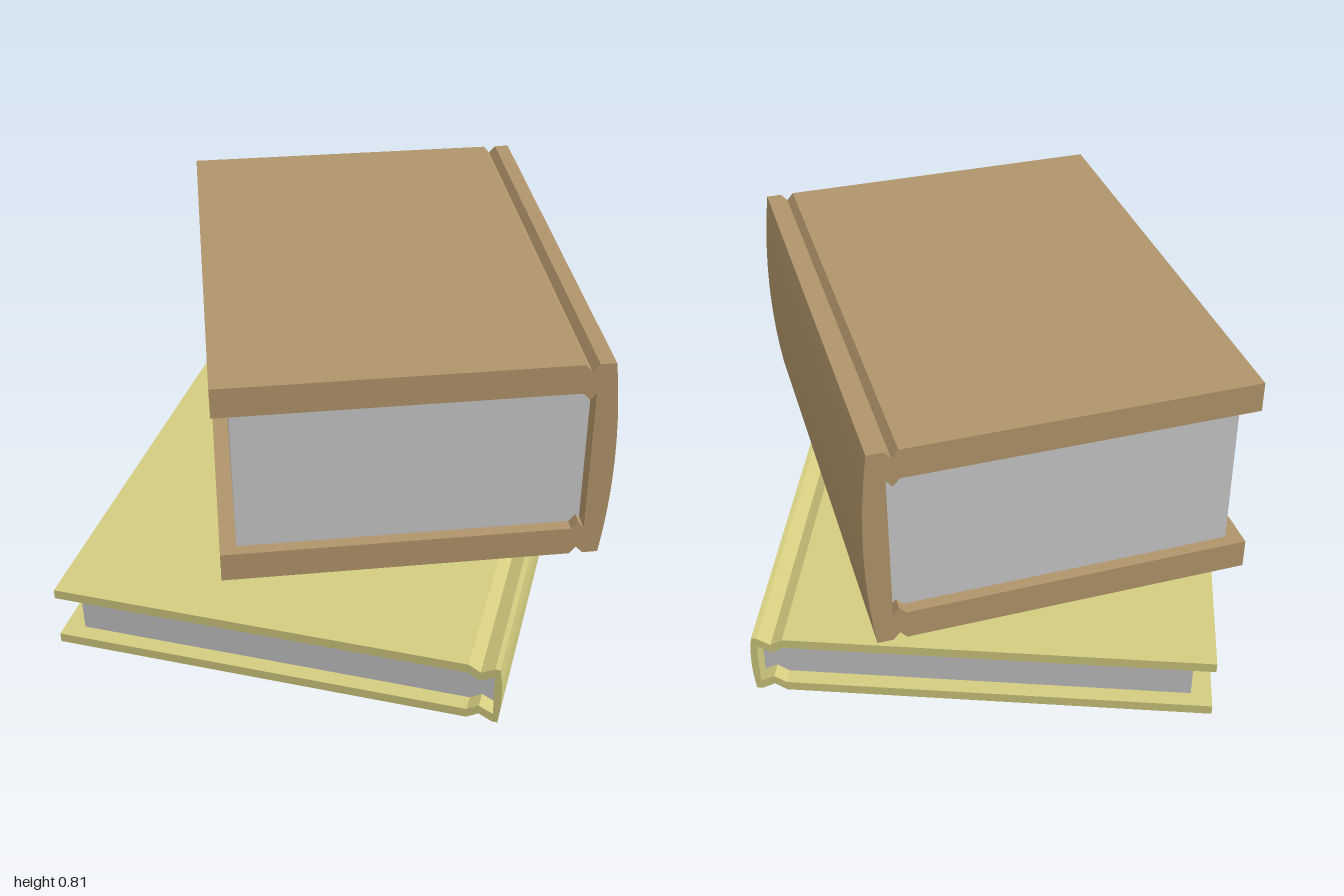
import * as THREE from 'three';
import { toCreasedNormals } from 'three/addons/utils/BufferGeometryUtils.js';

const material = (name, color) => {
  const m = new THREE.MeshStandardMaterial({ color });
  m.name = name;
  return m;
};

// One hardback: wraparound cover with hinge grooves, plus a page block.
function createBook(name, coverMaterial, pageMaterial, s) {
  const book = new THREE.Group();
  book.name = name;
  const h = s.height, t = s.cover, half = s.width / 2;
  const corner = half - s.bulge;
  const inner = corner - s.spine;
  const [g0, g1, g2] = s.groove;

  // Cover cross-section, a C shape closed by a bowed spine on +x
  const c = new THREE.Shape();
  c.moveTo(-half, 0);
  c.lineTo(g0, 0);
  c.lineTo(g1, s.grooveDepth);
  c.lineTo(g2, 0);
  c.lineTo(corner, 0);
  c.quadraticCurveTo(half + s.bulge, h / 2, corner, h);
  c.lineTo(g2, h);
  c.lineTo(g1, h - s.grooveDepth);
  c.lineTo(g0, h);
  c.lineTo(-half, h);
  c.lineTo(-half, h - t);
  c.lineTo(g0, h - t);
  c.lineTo(g1, h - t - s.grooveDepth);
  c.lineTo(inner, h - t);
  c.lineTo(inner, t);
  c.lineTo(g1, t + s.grooveDepth);
  c.lineTo(g0, t);
  c.lineTo(-half, t);
  c.closePath();
  const coverGeo = new THREE.ExtrudeGeometry(c, { depth: s.length, bevelEnabled: false, curveSegments: 10 });
  coverGeo.translate(0, 0, -s.length / 2);
  const cover = new THREE.Mesh(toCreasedNormals(coverGeo, 0.45), coverMaterial);
  cover.name = 'cover';

  // Page block, set back from the three open edges
  const left = -half + s.insetX, right = inner - s.gap;
  const pages = new THREE.Mesh(
    new THREE.BoxGeometry(right - left, h - 2 * t, s.length - 2 * s.insetZ), pageMaterial);
  pages.position.set((left + right) / 2, h / 2, 0);
  pages.name = 'pages';

  book.add(cover, pages);
  return book;
}

export function createModel() {
  const model = new THREE.Group();
  model.name = 'bookStack';
  const green = material('olive cover', 0xd2cb7f);
  const brown = material('brown cover', 0xb0946a);
  const paper = material('paper', 0xc6c6c6);

  // Wide thin book underneath
  const lower = createBook('lowerBook', green, paper, {
    width: 1.242, length: 1.871, height: 0.185, cover: 0.028, spine: 0.013, bulge: 0.007,
    groove: [0.531, 0.563, 0.6], grooveDepth: 0.02, insetX: 0.056, insetZ: 0.044, gap: 0.004,
  });
  lower.position.set(-0.0275, 0, 0);
  lower.rotation.y = -0.108;

  // Thick small book on top, turned the other way
  const upper = createBook('upperBook', brown, paper, {
    width: 1.08, length: 1.42, height: 0.625, cover: 0.088, spine: 0.046, bulge: 0.022,
    groove: [0.436, 0.455, 0.474], grooveDepth: 0.022, insetX: 0.046, insetZ: 0.035, gap: 0.006,
  });
  upper.position.set(0.0325, 0.185, -0.07);
  upper.rotation.y = 0.266;

  model.add(lower, upper);
  return model;
}
